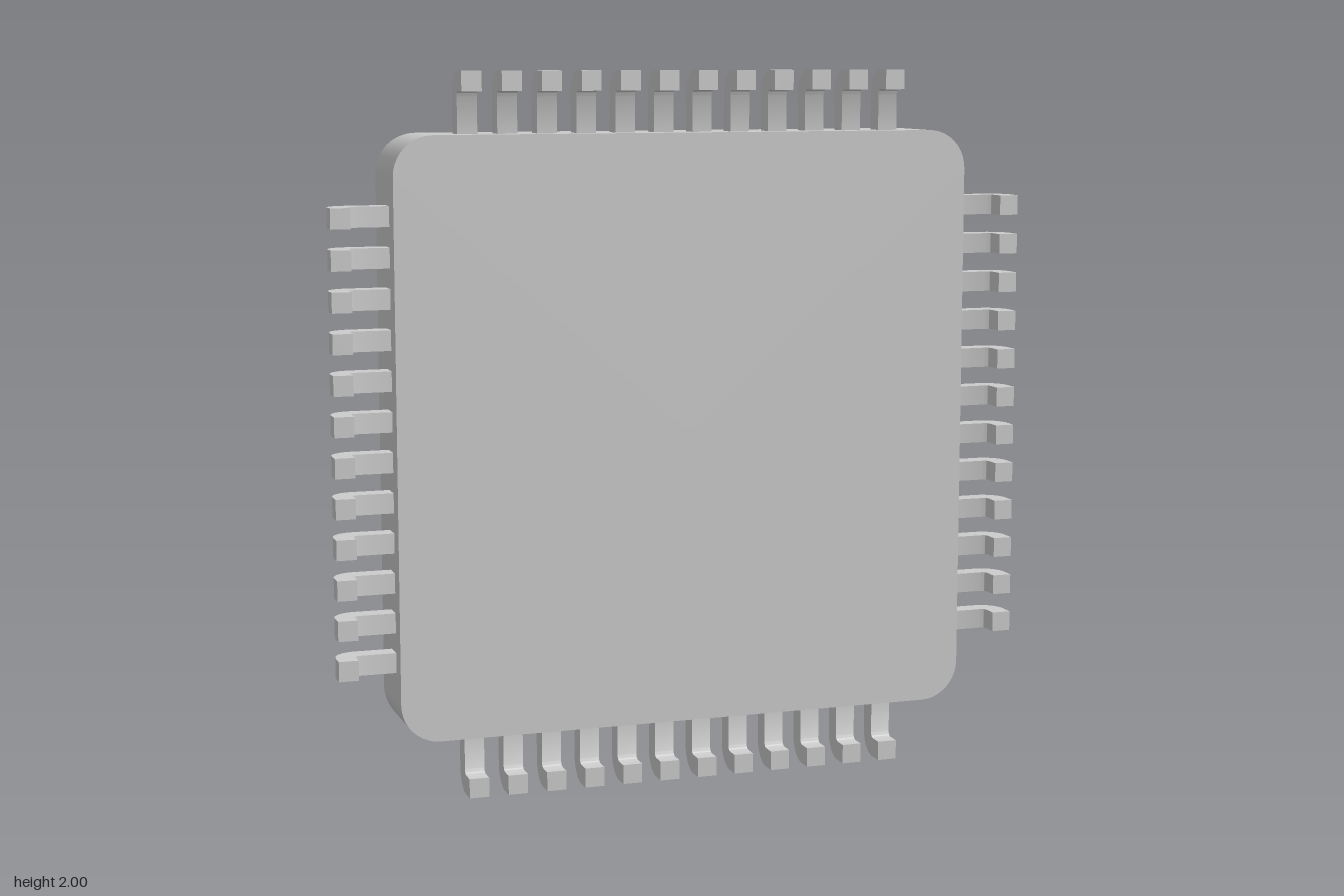
import * as THREE from 'three';
import { toCreasedNormals } from 'three/addons/utils/BufferGeometryUtils.js';

const HALF = 0.83, CORNER = 0.11, DEPTH = 0.137, FILLET = 0.055;
const PINS = 12, PITCH = 0.1114, PIN_WIDTH = 0.056;

// Rounded square slab: sharp at the front, filleted around the back
function bodyGeometry() {
  const rings = [[0, DEPTH]];
  for (let i = 0; i <= 8; i++) {
    const a = (i / 8) * Math.PI / 2;
    rings.push([FILLET * (1 - Math.cos(a)), -DEPTH + FILLET * (1 - Math.sin(a))]);
  }
  const steps = 10, n = 4 * (steps + 1);
  const pos = [], idx = [];
  for (const [inset, z] of rings) {
    for (let c = 0; c < 4; c++) {
      const sx = c === 0 || c === 3 ? 1 : -1, sy = c < 2 ? 1 : -1;
      for (let s = 0; s <= steps; s++) {
        const a = (c + s / steps) * Math.PI / 2, r = CORNER - inset;
        pos.push(sx * (HALF - CORNER) + r * Math.cos(a), sy * (HALF - CORNER) + r * Math.sin(a), z);
      }
    }
  }
  const front = pos.length / 3, back = front + 1, last = (rings.length - 1) * n;
  pos.push(0, 0, DEPTH, 0, 0, -DEPTH);
  for (let i = 0; i < n; i++) {
    const j = (i + 1) % n;
    idx.push(front, i, j, back, last + j, last + i);
    for (let k = 0; k < last; k += n) {
      idx.push(k + i, k + n + i, k + n + j, k + i, k + n + j, k + j);
    }
  }
  const g = new THREE.BufferGeometry();
  g.setAttribute('position', new THREE.Float32BufferAttribute(pos, 3));
  g.setIndex(idx);
  return toCreasedNormals(g, 0.6);
}

// Bent strip: runs outward along +x, then turns toward the front (+z)
function pinGeometry() {
  const back = 0.028, t = 0.055, outer = 0.065, inner = 0.015;
  const s = new THREE.Shape();
  s.moveTo(HALF - 0.01, back);
  s.lineTo(1 - outer, back);
  s.absarc(1 - outer, back + outer, outer, -Math.PI / 2, 0, false);
  s.lineTo(1, DEPTH);
  s.lineTo(1 - t, DEPTH);
  s.lineTo(1 - t, back + t + inner);
  s.absarc(1 - t - inner, back + t + inner, inner, 0, -Math.PI / 2, true);
  s.lineTo(HALF - 0.01, back + t);
  s.closePath();
  const g = new THREE.ExtrudeGeometry(s, { depth: PIN_WIDTH, bevelEnabled: false, curveSegments: 8 });
  g.translate(0, 0, -PIN_WIDTH / 2);
  g.rotateX(Math.PI / 2);
  return toCreasedNormals(g, 0.6);
}

export function createModel() {
  const model = new THREE.Group();
  model.name = 'chipPackage';
  const material = new THREE.MeshStandardMaterial({ color: 0xcccccc });

  const body = new THREE.Mesh(bodyGeometry(), material);
  body.name = 'body';
  body.position.y = 1;
  model.add(body);

  // One row of pins on each of the four sides
  const pinGeo = pinGeometry();
  ['leftPins', 'topPins', 'rightPins', 'bottomPins'].forEach((name, side) => {
    const row = new THREE.Group();
    row.name = name;
    for (let i = 0; i < PINS; i++) {
      const pin = new THREE.Mesh(pinGeo, material);
      pin.name = 'pin';
      pin.position.y = (i - (PINS - 1) / 2) * PITCH;
      row.add(pin);
    }
    row.position.y = 1;
    row.rotation.z = side * Math.PI / 2;
    model.add(row);
  });
  return model;
}
